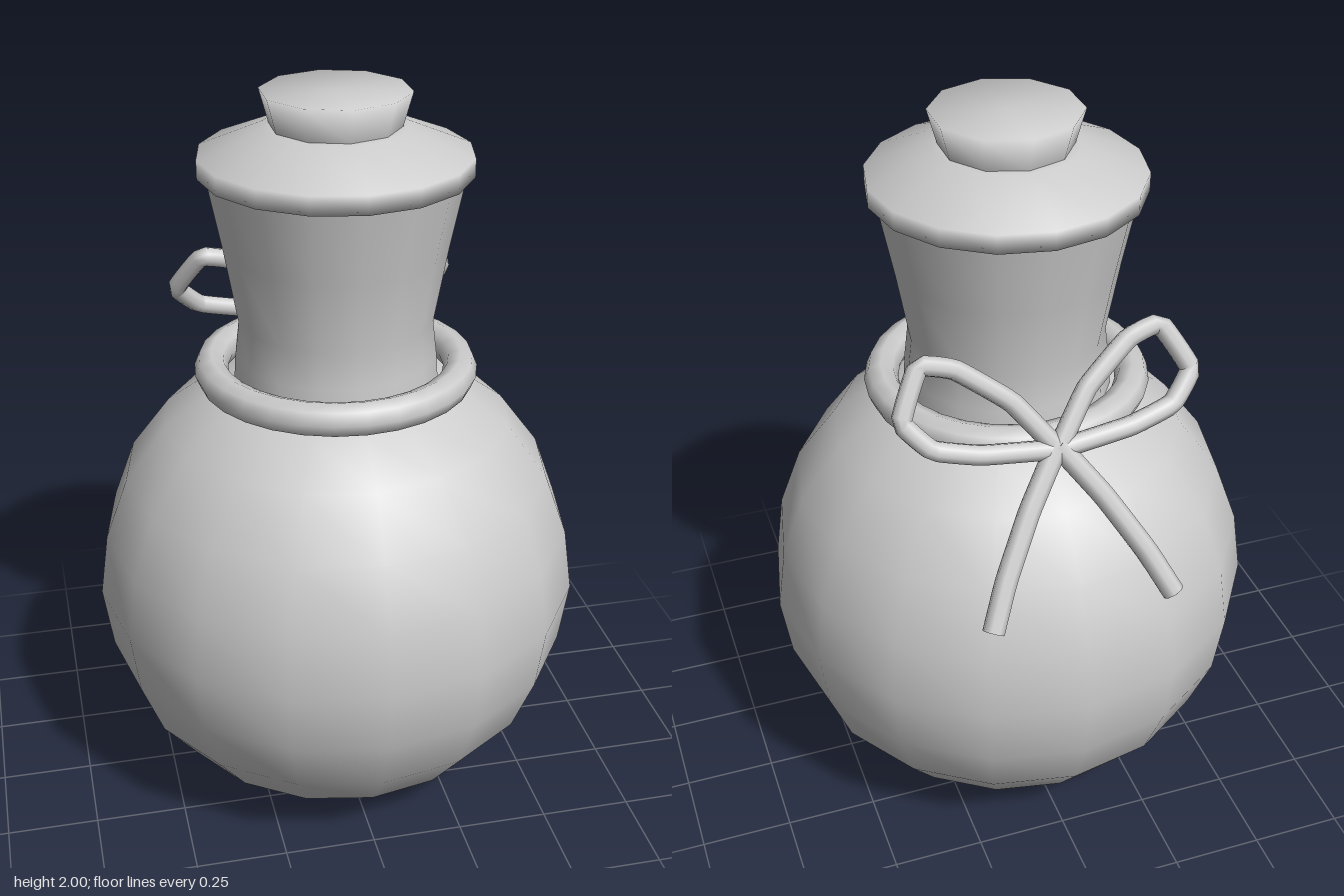
import * as THREE from 'three';

const material = new THREE.MeshStandardMaterial({ color: 0xcccccc, side: THREE.DoubleSide });
const V = (x, y, z) => new THREE.Vector3(x, y, z);

function addMesh(parent, name, geometry) {
  const mesh = new THREE.Mesh(geometry, material);
  mesh.name = name;
  parent.add(mesh);
  return mesh;
}

// Revolved part from [radius, height] pairs, bottom to top
function lathe(profile, sides) {
  return new THREE.LatheGeometry(profile.map(([r, y]) => new THREE.Vector2(r, y)), sides);
}

// The bow lies in a plane leaning against the shoulder of the flask
const bowPoint = (x, y) => V(x, y, -0.4 + (y - 1.25) * 0.58);

// Cord through the points with fairly tight bends; both ends are capped
function addCord(parent, name, points, radius) {
  const cord = new THREE.Group();
  cord.name = name;
  parent.add(cord);
  const curve = new THREE.CatmullRomCurve3(points, false, 'catmullrom', 0.15);
  addMesh(cord, name + 'Strand', new THREE.TubeGeometry(curve, points.length * 6, radius, 8, false));
  for (const t of [0, 1]) {
    const cap = addMesh(cord, name + 'End', new THREE.CircleGeometry(radius, 8));
    const p = curve.getPointAt(t);
    const out = curve.getTangentAt(t).multiplyScalar(t ? 1 : -1);
    cap.position.copy(p);
    cap.lookAt(p.clone().add(out));
  }
}

export function createModel() {
  const model = new THREE.Group();
  model.name = 'corkedFlask';

  // Round body
  addMesh(model, 'body', lathe([
    [0, 0], [0.13, 0.024], [0.34, 0.025], [0.475, 0.13], [0.587, 0.27], [0.65, 0.43],
    [0.675, 0.605], [0.65, 0.78], [0.587, 0.95], [0.475, 1.1], [0.35, 1.19], [0.275, 1.22],
  ], 16));

  // Flared neck
  addMesh(model, 'neck', lathe([
    [0.28, 1.21], [0.275, 1.29], [0.263, 1.39], [0.298, 1.59], [0.338, 1.79],
  ], 16));

  // Lip with a sloped top
  addMesh(model, 'lip', lathe([
    [0.2, 1.79], [0.36, 1.79], [0.36, 1.84], [0.19, 1.91], [0.15, 1.91],
  ], 16));

  // Cork, narrower at the bottom
  addMesh(model, 'cork', lathe([[0, 1.85], [0.16, 1.85], [0.172, 1.91], [0.197, 2], [0, 2]], 10));

  // Cord wound around the base of the neck
  const ring = addMesh(model, 'cordRing', new THREE.TorusGeometry(0.338, 0.046, 8, 28));
  ring.rotation.x = Math.PI / 2;
  ring.position.y = 1.243;

  // Bow at the back: a loop and a tail on each side
  const bow = new THREE.Group();
  bow.name = 'bow';
  model.add(bow);
  for (const s of [1, -1]) {
    const side = s > 0 ? 'left' : 'right';
    addCord(bow, side + 'Loop', [
      bowPoint(0, 1.25), bowPoint(s * 0.1, 1.37), bowPoint(s * 0.23, 1.46), bowPoint(s * 0.32, 1.48),
      bowPoint(s * 0.385, 1.37), bowPoint(s * 0.32, 1.3), bowPoint(s * 0.2, 1.27), bowPoint(0, 1.25),
    ], 0.027);
    addCord(bow, side + 'Tail', [
      bowPoint(0, 1.26), bowPoint(s * 0.1, 1.13), bowPoint(s * 0.19, 0.99), bowPoint(s * 0.245, 0.885),
    ], 0.029);
  }
  return model;
}
